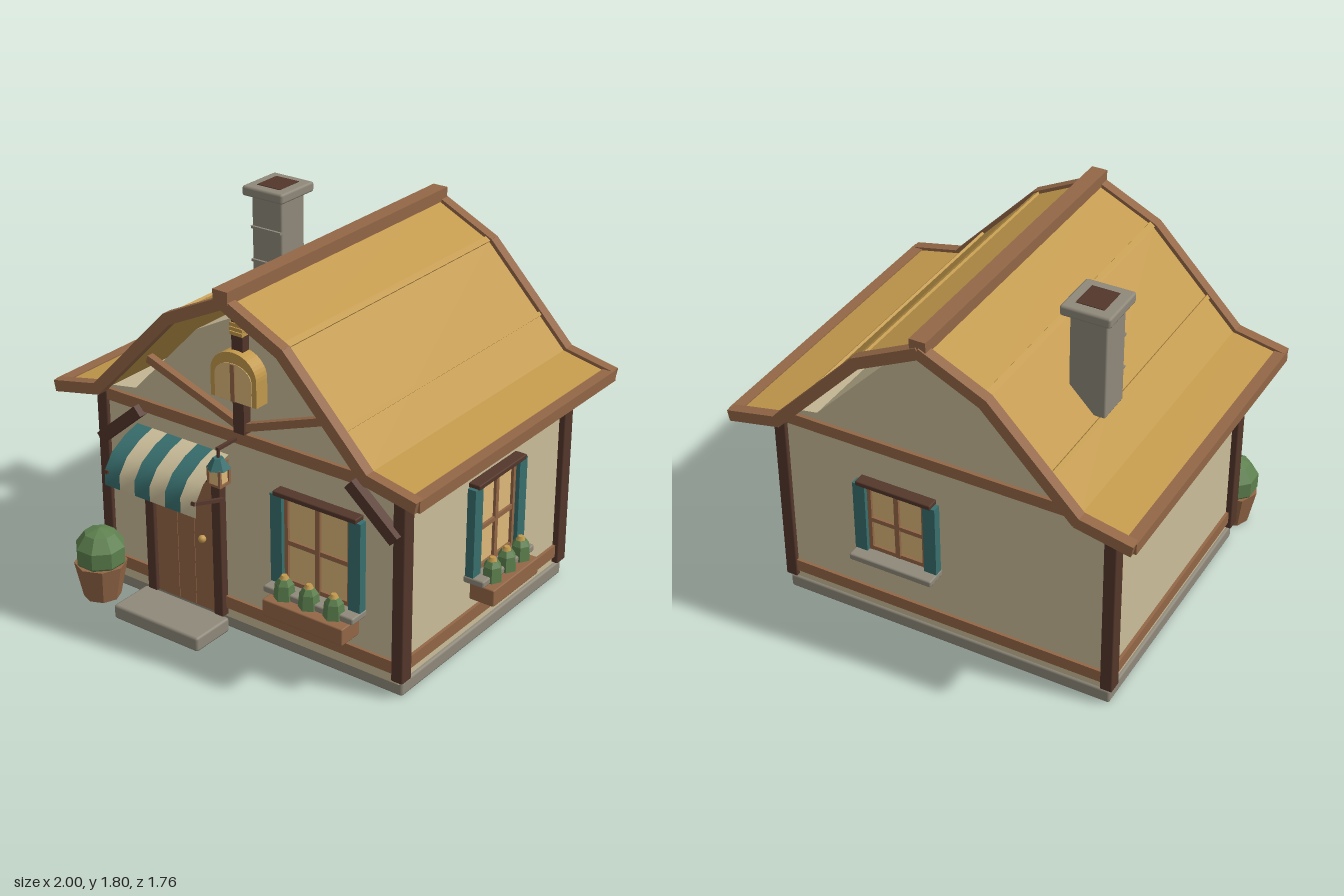
import * as THREE from 'three';
import { RoundedBoxGeometry } from 'three/addons/geometries/RoundedBoxGeometry.js';

const mat = (name, color, extra = {}) => Object.assign(new THREE.MeshStandardMaterial({ color, ...extra }), { name });

export function createModel() {
  const M = {
    plaster: mat('plaster', 0xcabd99),
    thatch: mat('thatch', 0xc2994c),
    wood: mat('wood', 0x936746),
    darkWood: mat('dark wood', 0x54372b),
    stone: mat('stone', 0x8f897a),
    teal: mat('teal paint', 0x386f6e),
    leaf: mat('leaf', 0x5d804e, { flatShading: true }),
    glass: mat('warm glass', 0xdeb87a),
  };
  M.pot = M.wood;
  const root = new THREE.Group();
  root.name = 'cottage';

  const add = (parent, name, geo, material, x = 0, y = 0, z = 0) => {
    const m = new THREE.Mesh(geo, material);
    m.name = name;
    m.position.set(x, y, z);
    parent.add(m);
    return m;
  };
  // Box from its extents; stone blocks and posts may have softened edges
  const box = (parent, name, material, [x0, x1], [y0, y1], [z0, z1], r = 0) => {
    const s = [x1 - x0, y1 - y0, z1 - z0];
    const geo = r ? new RoundedBoxGeometry(...s, 1, r) : new THREE.BoxGeometry(...s);
    return add(parent, name, geo, material, (x0 + x1) / 2, (y0 + y1) / 2, (z0 + z1) / 2);
  };
  // Straight timber in the xy plane from a to b
  const beam = (parent, name, material, a, b, w, [z0, z1], over = 0) => {
    const dx = b[0] - a[0], dy = b[1] - a[1];
    const geo = new THREE.BoxGeometry(Math.hypot(dx, dy) + over, w, z1 - z0);
    const m = add(parent, name, geo, material, (a[0] + b[0]) / 2, (a[1] + b[1]) / 2, (z0 + z1) / 2);
    m.rotation.z = Math.atan2(dy, dx);
    return m;
  };
  const extrude = (pts, depth) =>
    new THREE.ExtrudeGeometry(new THREE.Shape(pts.map(p => new THREE.Vector2(...p))), { depth, bevelEnabled: false });

  // Foundation, step and walls
  box(root, 'foundation', M.stone, [-0.84, 0.84], [0, 0.07], [-0.72, 0.615], 0.012);
  box(root, 'doorStep', M.stone, [-0.6, -0.1], [0, 0.072], [0.64, 0.87], 0.012);
  box(root, 'walls', M.plaster, [-0.825, 0.825], [0.06, 1.03], [-0.71, 0.62]);
  const half = [[0.85, 1.035], [0.63, 1.073], [0.262, 1.453]];
  const gable = [...half, [0, 1.59], ...half.map(([x, y]) => [-x, y]).reverse()];
  add(root, 'gable', extrude(gable, 1.33), M.plaster, 0, 0, -0.71);

  // Timber frame
  for (const [y0, y1] of [[0.115, 0.176], [0.975, 1.032]]) {
    box(root, 'frontRail', M.wood, [-0.8, 0.8], [y0, y1], [0.6, 0.635]);
    box(root, 'backRail', M.wood, [-0.8, 0.8], [y0, y1], [-0.725, -0.69]);
    for (const s of [-1, 1]) box(root, 'sideRail', M.wood, s < 0 ? [-0.84, -0.81] : [0.81, 0.84], [y0, y1], [-0.66, 0.57]);
  }
  for (const s of [-1, 1]) {
    for (const z of [0.603, -0.695]) box(root, 'cornerPost', M.darkWood, [s * 0.826 - 0.03, s * 0.826 + 0.03], [0.08, 1.035], [z - 0.036, z + 0.036], 0.006);
    beam(root, 'cornerBrace', M.darkWood, [s * 0.82, 0.785], [s * 0.585, 0.985], 0.055, [0.62, 0.67]);
    beam(root, 'gableBrace', M.wood, [s * 0.01, 1.07], [s * 0.525, 1.255], 0.036, [0.62, 0.655]);
  }
  box(root, 'kingPost', M.darkWood, [-0.03, 0.03], [1.045, 1.625], [0.61, 0.665]);
  for (const y of [1.515, 1.535, 1.555]) box(root, 'postBinding', M.thatch, [-0.034, 0.034], [y - 0.008, y + 0.008], [0.61, 0.672]);

  // Roof: thin bent thatch, verge boards, eaves and ridge
  const line = [[0, 1.685], [0.305, 1.538], [0.735, 1.092], [0.985, 1.04]];
  const upper = line.map(([x, y]) => [x, y + 0.012]), lower = line.map(([x, y]) => [x, y - 0.02]);
  for (const s of [-1, 1]) {
    const pts = [...upper, ...lower.reverse()].map(([x, y]) => [s * x, y]);
    lower.reverse();
    add(root, 'thatchRoof', extrude(pts, 1.56), M.thatch, 0, 0, -0.83);
    for (const z of [[0.715, 0.767], [-0.875, -0.822]])
      for (let i = 0; i < 3; i++)
        beam(root, 'vergeBoard', M.wood, [s * line[i][0], line[i][1]], [s * line[i + 1][0], line[i + 1][1]], 0.054, z, 0.012);
    box(root, 'eaveBoard', M.wood, s < 0 ? [-1, -0.945] : [0.945, 1], [1.012, 1.066], [-0.85, 0.745]);
    // Raised seams of the thatch
    beam(root, 'thatchSeam', M.thatch, [s * 0.288, 1.565], [s * 0.312, 1.547], 0.012, [-0.82, 0.715]);
    beam(root, 'thatchSeam', M.thatch, [s * 0.59, 1.261], [s * 0.604, 1.246], 0.016, [-0.82, 0.715]);
    for (const z of [0.435, 0.115, -0.21, -0.535])
      box(root, 'rafterTail', M.darkWood, s < 0 ? [-0.95, -0.82] : [0.82, 0.95], [0.995, 1.04], [z - 0.02, z + 0.02]);
  }
  box(root, 'ridgeBeam', M.wood, [-0.039, 0.039], [1.685, 1.745], [-0.868, 0.77]);

  // Chimney
  box(root, 'chimneyShaft', M.stone, [-0.623, -0.448], [1.27, 1.76], [-0.395, -0.222], 0.008);
  box(root, 'chimneyCap', M.stone, [-0.653, -0.417], [1.75, 1.8], [-0.433, -0.185], 0.012);
  box(root, 'flue', M.darkWood, [-0.6, -0.468], [1.79, 1.803], [-0.382, -0.235]);
  for (const y of [1.43, 1.595]) box(root, 'chimneyCourse', M.stone, [-0.622, -0.449], [y - 0.006, y + 0.006], [-0.23, -0.21]);

  // Attic window with an arched frame
  const arch = (w, y0, yS, ry, depth) => {
    const s = new THREE.Shape();
    s.moveTo(-w, y0);
    s.lineTo(w, y0);
    s.lineTo(w, yS);
    s.absellipse(0, yS, w, ry, 0, Math.PI, false);
    s.lineTo(-w, y0);
    return new THREE.ExtrudeGeometry(s, { depth, bevelEnabled: false, curveSegments: 10 });
  };
  add(root, 'atticFrame', arch(0.125, 1.21, 1.33, 0.108, 0.075), M.thatch, 0, 0, 0.62);
  add(root, 'atticGlass', arch(0.1, 1.212, 1.32, 0.068, 0.006), M.glass, 0, 0, 0.692);
  box(root, 'atticBar', M.wood, [-0.011, 0.011], [1.212, 1.385], [0.69, 0.703]);

  // Door
  box(root, 'door', M.wood, [-0.525, -0.165], [0.075, 0.75], [0.61, 0.64]);
  for (const x of [-0.545, -0.147]) box(root, 'doorJamb', M.darkWood, [x - 0.026, x + 0.026], [0.075, 0.76], [0.61, 0.66], 0.005);
  box(root, 'doorLintel', M.darkWood, [-0.59, -0.1], [0.755, 0.82], [0.61, 0.67]);
  box(root, 'awningRail', M.wood, [-0.59, -0.1], [0.825, 0.875], [0.62, 0.7]);
  add(root, 'doorKnob', new THREE.SphereGeometry(0.019, 10, 8), M.thatch, -0.236, 0.443, 0.655);
  for (const x of [-0.395, -0.295]) box(root, 'doorGroove', M.wood, [x - 0.003, x + 0.003], [0.08, 0.75], [0.63, 0.643]);

  // Striped awning: a thin sheet swept down into a valance
  const sheet = [[0.91, 0.64], [0.885, 0.725], [0.835, 0.815], [0.765, 0.868], [0.692, 0.87]];
  for (const m of [M.teal, M.plaster]) m.side = THREE.DoubleSide;
  const stripeW = 0.53 / 6;
  for (let i = 0; i < 6; i++) {
    const geo = new THREE.PlaneGeometry(stripeW, 1, 1, 4), p = geo.attributes.position;
    for (let k = 0; k < p.count; k++) {
      const [y, z] = sheet[Math.floor(k / 2)];
      p.setXYZ(k, p.getX(k), y, z);
    }
    geo.computeVertexNormals();
    add(root, 'awningStripe', geo, i % 2 ? M.plaster : M.teal, -0.612 + stripeW * (i + 0.5));
  }
  for (const x of [-0.598, -0.093]) {
    const arm = box(root, 'awningArm', M.darkWood, [x - 0.01, x + 0.01], [0.722, 0.738], [0.663, 0.883]);
    arm.rotation.x = -0.31;
  }

  // Hanging lantern
  const lantern = new THREE.Group();
  lantern.name = 'lantern';
  lantern.position.set(-0.043, 0, 0.755);
  root.add(lantern);
  box(lantern, 'lanternArm', M.darkWood, [-0.008, 0.008], [0.99, 1.004], [-0.13, 0.008]);
  box(lantern, 'lanternHook', M.darkWood, [-0.005, 0.005], [0.95, 0.995], [-0.005, 0.005]);
  add(lantern, 'lanternCap', new THREE.CylinderGeometry(0.024, 0.056, 0.05, 6).toNonIndexed(), M.teal, 0, 0.93).geometry.computeVertexNormals();
  box(lantern, 'lanternGlass', M.glass, [-0.029, 0.029], [0.832, 0.91], [-0.029, 0.029]);
  box(lantern, 'lanternBase', M.wood, [-0.037, 0.037], [0.826, 0.838], [-0.037, 0.037]);
  for (const x of [-0.031, 0.031]) for (const z of [-0.031, 0.031])
    box(lantern, 'lanternBar', M.wood, [x - 0.006, x + 0.006], [0.83, 0.91], [z - 0.006, z + 0.006]);

  // Shuttered window facing +z; y0 and y1 bound the glass, hw is its half width
  const makeWindow = (name, hw, y0, y1, planter) => {
    const g = new THREE.Group();
    g.name = name;
    root.add(g);
    const ym = (y0 + y1) / 2 - 0.012;
    box(g, 'pane', M.glass, [-hw, hw], [y0, y1], [-0.01, 0.018]);
    for (const x of [-hw + 0.008, 0, hw - 0.008]) box(g, 'mullion', M.wood, [x - 0.012, x + 0.012], [y0, y1], [0, 0.032]);
    for (const y of [y0 + 0.01, ym, y1 - 0.008]) box(g, 'transom', M.wood, [-hw, hw], [y - 0.011, y + 0.011], [0, 0.03]);
    for (const s of [-1, 1]) {
      const x = s * (hw + 0.03);
      box(g, 'shutter', M.teal, [x - 0.031, x + 0.031], [y0, y1], [0.01, 0.052]);
    }
    box(g, 'windowHead', M.darkWood, [-hw - 0.042, hw + 0.042], [y1 - 0.004, y1 + 0.02], [0, 0.06], 0.005);
    box(g, 'windowSill', M.stone, [-hw - 0.063, hw + 0.063], [y0 - 0.033, y0], [0, 0.108], 0.008);
    if (!planter) return g;
    box(g, 'planter', M.wood, [-hw - 0.037, hw + 0.037], [y0 - 0.125, y0 - 0.042], [0.02, 0.148], 0.006);
    for (const i of [-1, 0, 1]) {
      const x = i * (hw * 0.55 + 0.035);
      add(g, 'plant', new THREE.CylinderGeometry(0.043, 0.05, 0.07, 6), M.leaf, x, y0 + 0.005, 0.092);
      add(g, 'plantTop', new THREE.CylinderGeometry(0.026, 0.043, 0.025, 6), M.leaf, x, y0 + 0.052, 0.092);
      add(g, 'flower', new THREE.CylinderGeometry(0.014, 0.028, 0.03, 6), M.thatch, x, y0 + 0.067, 0.092);
    }
    return g;
  };
  makeWindow('frontWindow', 0.18, 0.38, 0.815, true).position.set(0.412, 0, 0.62);
  const side = makeWindow('sideWindow', 0.152, 0.38, 0.815, true);
  side.position.set(0.828, 0, -0.08);
  side.rotation.y = Math.PI / 2;
  const back = makeWindow('backWindow', 0.15, 0.428, 0.795, false);
  back.position.set(0.22, 0, -0.71);
  back.rotation.y = Math.PI;

  // Potted shrub beside the door
  const tub = add(root, 'tub', new THREE.CylinderGeometry(0.125, 0.088, 0.18, 8).toNonIndexed(), M.pot, -0.78, 0.1, 0.752);
  tub.geometry.computeVertexNormals();
  const shrub = add(root, 'shrub', new THREE.SphereGeometry(0.126, 8, 5), M.leaf, -0.78, 0.24, 0.75);
  shrub.rotation.y = Math.PI / 8;
  return root;
}
